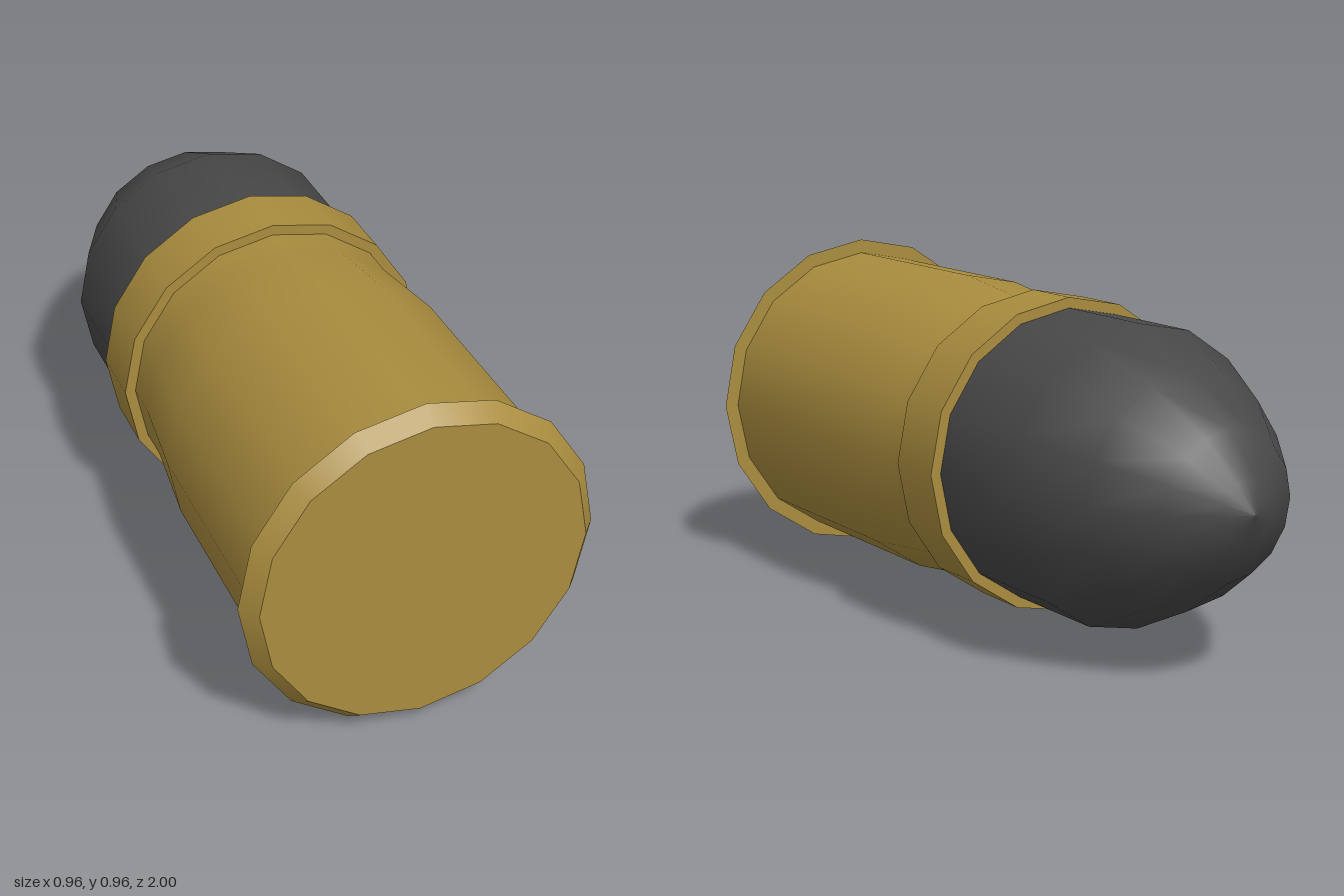
import * as THREE from 'three';

const SIDES = 16;
const AXIS_Y = 0.48;

export function createModel() {
  const brass = new THREE.MeshStandardMaterial({ color: 0xa98c3e });
  brass.name = 'brass';
  const lead = new THREE.MeshStandardMaterial({ color: 0x484848 });
  lead.name = 'dark lead';

  const model = new THREE.Group();
  model.name = 'cartridge';

  // Turned part lying along z; profile is [radius, z] from back to front
  function turned(name, profile, material) {
    const points = profile.map(([r, z]) => new THREE.Vector2(r, z));
    const geometry = new THREE.LatheGeometry(points, SIDES).rotateX(Math.PI / 2);
    const mesh = new THREE.Mesh(geometry, material);
    mesh.name = name;
    mesh.position.y = AXIS_Y;
    model.add(mesh);
  }

  // Bullet: rounded nose and straight shank
  turned('bullet', [
    [0, -1], [0.078, -0.967], [0.197, -0.895], [0.31, -0.73], [0.408, -0.52], [0.408, -0.19],
  ], lead);

  // Raised band at the case mouth, with its two end rings
  turned('bandBackRing', [[0.4, -0.195], [0.437, -0.195]], brass);
  turned('band', [[0.437, -0.195], [0.437, -0.02]], brass);
  turned('bandFrontRing', [[0.437, -0.02], [0.4, -0.02]], brass);

  // Case body tapering to the neck
  turned('caseBody', [[0.408, -0.03], [0.408, 0.08], [0.438, 0.33], [0.438, 0.955]], brass);

  // Flared rim and flat base
  turned('rimBackRing', [[0.43, 0.955], [0.479, 0.955]], brass);
  turned('rimBevel', [[0.479, 0.955], [0.44, 1]], brass);
  turned('base', [[0.44, 1], [0, 1]], brass);

  return model;
}
